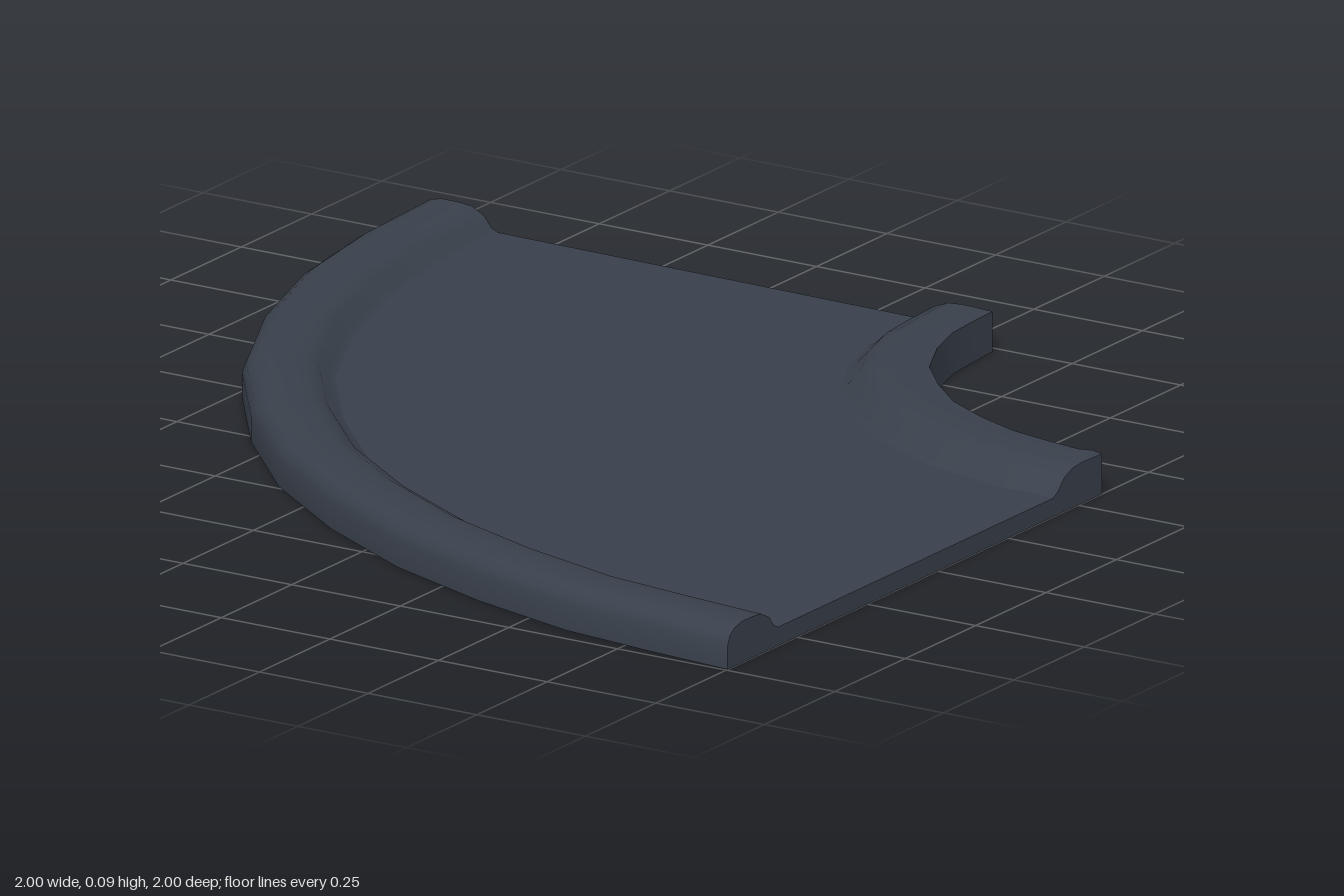
import * as THREE from 'three';
import { toCreasedNormals } from 'three/addons/utils/BufferGeometryUtils.js';

// Outer rim of the quarter turn, [x, z], from the back end to the right-hand end
const RIM = [
  [-1, -1], [-0.985, -0.74], [-0.945, -0.49], [-0.86, -0.22], [-0.73, 0.05], [-0.56, 0.28], [-0.36, 0.49],
  [-0.13, 0.66], [0.11, 0.795], [0.36, 0.89], [0.6, 0.955], [0.8, 0.978], [1, 0.995],
];
const WIDTH = 1.33, FLOOR = 0.04, OUTER_FOOT = 0.18, INNER_FOOT = 1.155;

// Point on the bend: station i, inset t from the rim, height y
function place(i, t, y) {
  const s = i / (RIM.length - 1);
  const angle = THREE.MathUtils.lerp(-0.015, Math.PI / 2, s);
  const rise = 0.95 + 0.07 * Math.sin(Math.PI * s);
  return [RIM[i][0] + t * Math.cos(angle), y * rise, RIM[i][1] - t * Math.sin(angle)];
}

// Sweep a counter-clockwise [inset, height] profile round the bend and cap both ends.
// Edges listed in hidden touch a neighbouring part and are left out.
function sweep(name, profile, hidden, material) {
  const positions = [];
  const tri = (...corners) => corners.forEach(([i, j]) => positions.push(...place(i, ...profile[j])));
  const n = profile.length, last = RIM.length - 1;
  for (let i = 0; i < last; i++) {
    for (let j = 0; j < n; j++) {
      if (hidden.includes(j)) continue;
      const k = (j + 1) % n;
      tri([i, j], [i + 1, k], [i + 1, j]);
      tri([i, j], [i, k], [i + 1, k]);
    }
  }
  const contour = profile.map(([t, y]) => new THREE.Vector2(t, y));
  for (const [a, b, c] of THREE.ShapeUtils.triangulateShape(contour, [])) {
    tri([0, a], [0, c], [0, b]);
    tri([last, a], [last, b], [last, c]);
  }
  const geometry = new THREE.BufferGeometry();
  geometry.setAttribute('position', new THREE.Float32BufferAttribute(positions, 3));
  const mesh = new THREE.Mesh(toCreasedNormals(geometry, 0.65), material);
  mesh.name = name;
  return mesh;
}

export function createModel() {
  const slate = new THREE.MeshStandardMaterial({ color: 0x39404b });
  slate.name = 'dark slate';

  // Flat running surface and its underside
  const road = [[OUTER_FOOT, 0], [INNER_FOOT, 0], [INNER_FOOT, FLOOR], [OUTER_FOOT, FLOOR]];
  // Raised outer kerb with a rounded shoulder
  const outerKerb = [
    [OUTER_FOOT, FLOOR], [0.165, 0.048], [0.148, 0.07], [0.12, 0.085], [0.09, 0.088], [0.05, 0.088],
    [0.025, 0.082], [0.008, 0.07], [0, 0.05], [0, 0], [OUTER_FOOT, 0],
  ];
  // Raised inner kerb with a sharp inside wall
  const innerKerb = [
    [INNER_FOOT, 0], [WIDTH, 0], [WIDTH, 0.086], [1.26, 0.088], [1.225, 0.085],
    [1.195, 0.072], [1.172, 0.048], [INNER_FOOT, FLOOR],
  ];

  const group = new THREE.Group();
  group.name = 'curvedTrackSection';
  group.add(
    sweep('roadBed', road, [1, 3], slate),
    sweep('outerKerb', outerKerb, [outerKerb.length - 1], slate),
    sweep('innerKerb', innerKerb, [innerKerb.length - 1], slate),
  );
  return group;
}
